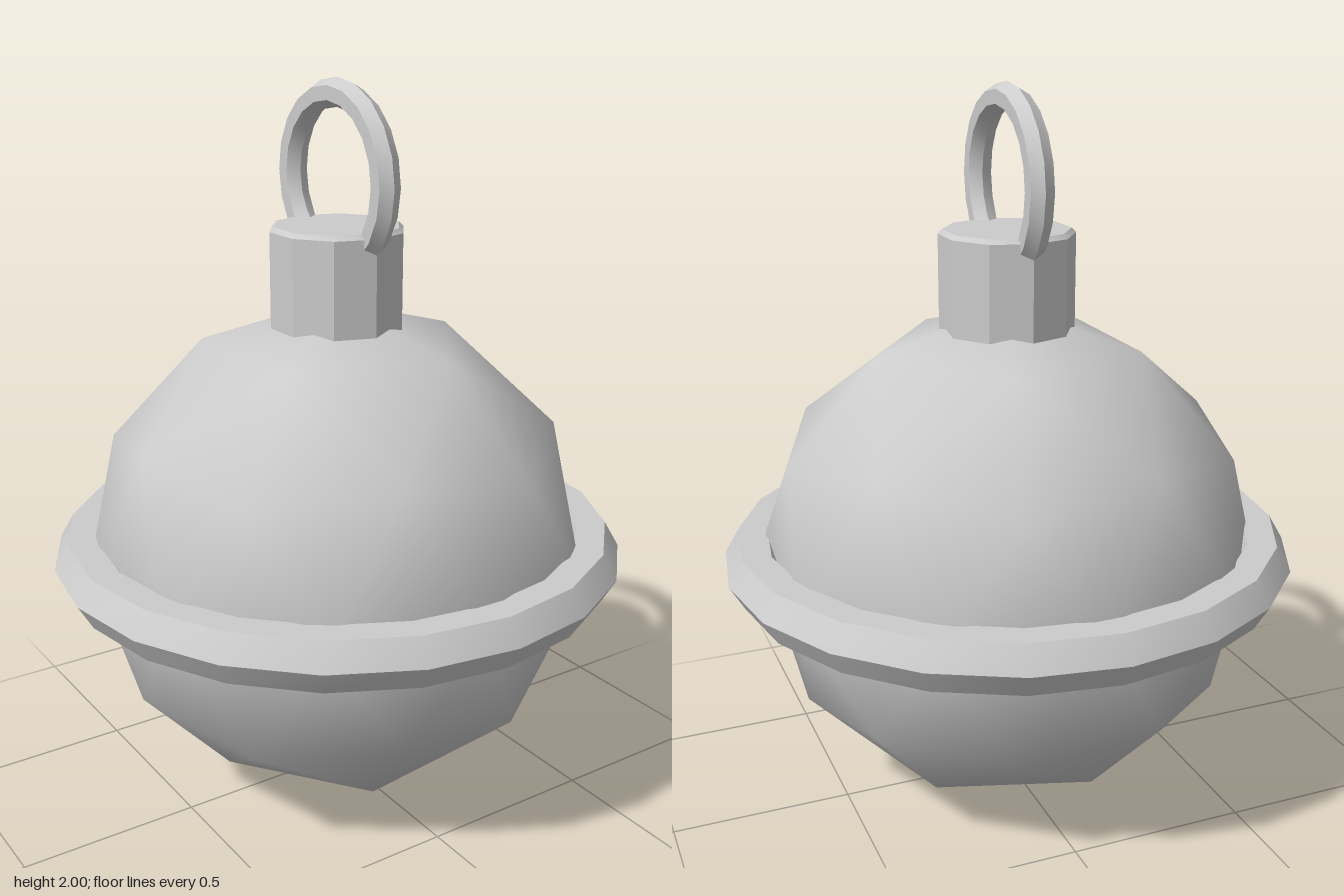
import * as THREE from 'three';
import { toCreasedNormals } from 'three/addons/utils/BufferGeometryUtils.js';

const CREASE = Math.PI / 6;

export function createModel() {
  const model = new THREE.Group();
  model.name = 'bauble';
  const grey = new THREE.MeshStandardMaterial({ color: 0xcccccc });
  grey.name = 'plain grey';

  const add = (name, geometry, y) => {
    const mesh = new THREE.Mesh(geometry, grey);
    mesh.name = name;
    mesh.position.y = y;
    model.add(mesh);
  };

  // Hexagonal-section ring: smooth around, sharp along its edges
  const hexRing = (radius, tube) =>
    toCreasedNormals(new THREE.TorusGeometry(radius, tube, 6, 20), CREASE);

  // Ball: smooth-shaded icosphere standing on one of its vertices
  const ball = new THREE.IcosahedronGeometry(0.705, 1);
  ball.rotateZ(-Math.atan2(2, 1 + Math.sqrt(5)));
  add('ball', ball, 0.705);

  // Band around the middle
  add('band', hexRing(0.72, 0.08).rotateX(Math.PI / 2), 0.71);

  // Ten-sided cap with a small bevel at the top
  const profile = [[0, 1.3], [0.185, 1.3], [0.185, 1.608], [0.173, 1.62], [0, 1.62]]
    .map(([r, y]) => new THREE.Vector2(r, y));
  const cap = toCreasedNormals(new THREE.LatheGeometry(profile, 10), CREASE);
  add('cap', cap, 0);

  // Hanging loop, its lower part sunk into the cap
  add('hangingLoop', hexRing(0.22, 0.038).rotateY(Math.PI / 2).rotateX(Math.PI / 2), 1.742);

  return model;
}
